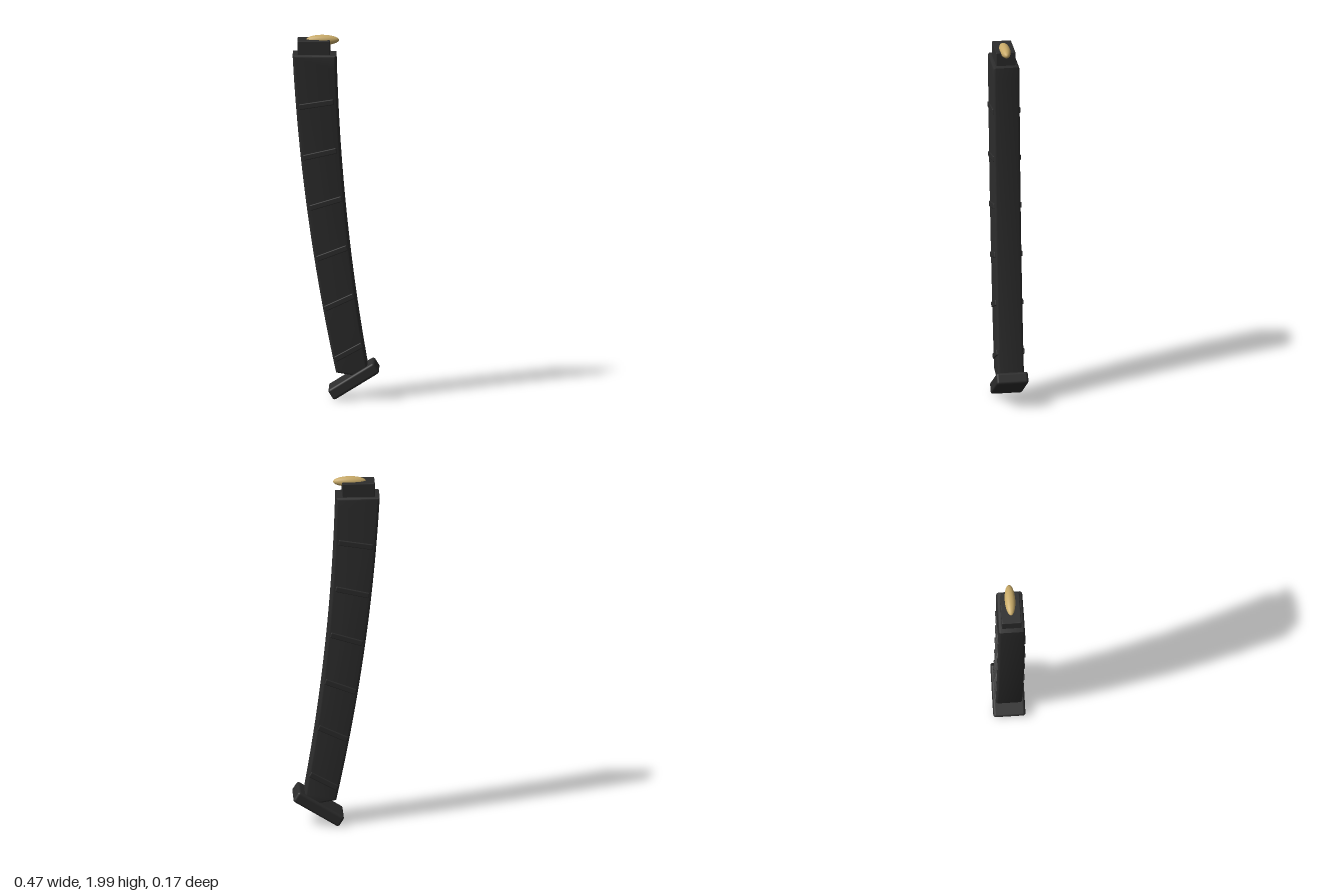
import * as THREE from 'three';
import { toCreasedNormals } from 'three/addons/utils/BufferGeometryUtils.js';
import { RoundedBoxGeometry } from 'three/addons/geometries/RoundedBoxGeometry.js';

export function createModel() {
  const group = new THREE.Group();
  const polymer = new THREE.MeshStandardMaterial({ color: 0x2c2c2c });
  polymer.name = 'black polymer';
  const brass = new THREE.MeshStandardMaterial({ color: 0xc8aa68 });
  brass.name = 'brass';

  const add = (name, geometry, material, x = 0, y = 0, z = 0, tilt = 0) => {
    const mesh = new THREE.Mesh(geometry, material);
    mesh.name = name;
    mesh.position.set(x, y, z);
    mesh.rotation.z = THREE.MathUtils.degToRad(tilt);
    group.add(mesh);
    return mesh;
  };

  // Curved, tapering body: side outline extruded across the width
  const outline = new THREE.Shape();
  outline.moveTo(-0.235, 1.9);
  outline.quadraticCurveTo(-0.19, 1.03, 0, 0.15);
  outline.lineTo(0.18, 0.12);
  outline.quadraticCurveTo(0.02, 1.0, 0, 1.9);
  const halfWidth = 0.071, bevel = 0.013;
  const body = new THREE.ExtrudeGeometry(outline, {
    depth: 2 * (halfWidth - bevel), curveSegments: 24,
    bevelThickness: bevel, bevelSize: bevel, bevelOffset: -bevel, bevelSegments: 3,
  });
  body.translate(0, 0, bevel - halfWidth);
  add('body', toCreasedNormals(body, 0.6), polymer);

  // Raised ribs on both flat sides, turning with the curve
  const ribs = [
    [-0.106, 1.63, 9], [-0.087, 1.356, 13], [-0.055, 1.085, 17],
    [-0.022, 0.81, 21], [0.018, 0.54, 25], [0.068, 0.265, 29],
  ];
  ribs.forEach(([x, y, tilt], i) => {
    for (const side of [-1, 1]) {
      const rib = new RoundedBoxGeometry(0.188 - i * 0.004, 0.031, 0.02, 2, 0.005);
      add(side > 0 ? 'frontRib' : 'backRib', rib, polymer, x, y, side * 0.067, tilt);
    }
  });

  // Feed block on top with the exposed round
  add('feedBlock', new RoundedBoxGeometry(0.176, 0.095, 0.105, 2, 0.004), polymer, -0.122, 1.9285);
  const round = add('round', new THREE.SphereGeometry(1, 32, 20), brass, -0.075, 1.972);
  round.scale.set(0.089, 0.028, 0.029);

  // Slanted base plate
  add('basePlate', new RoundedBoxGeometry(0.292, 0.065, 0.174, 4, 0.014), polymer, 0.095, 0.105, 0, 32);

  return group;
}
